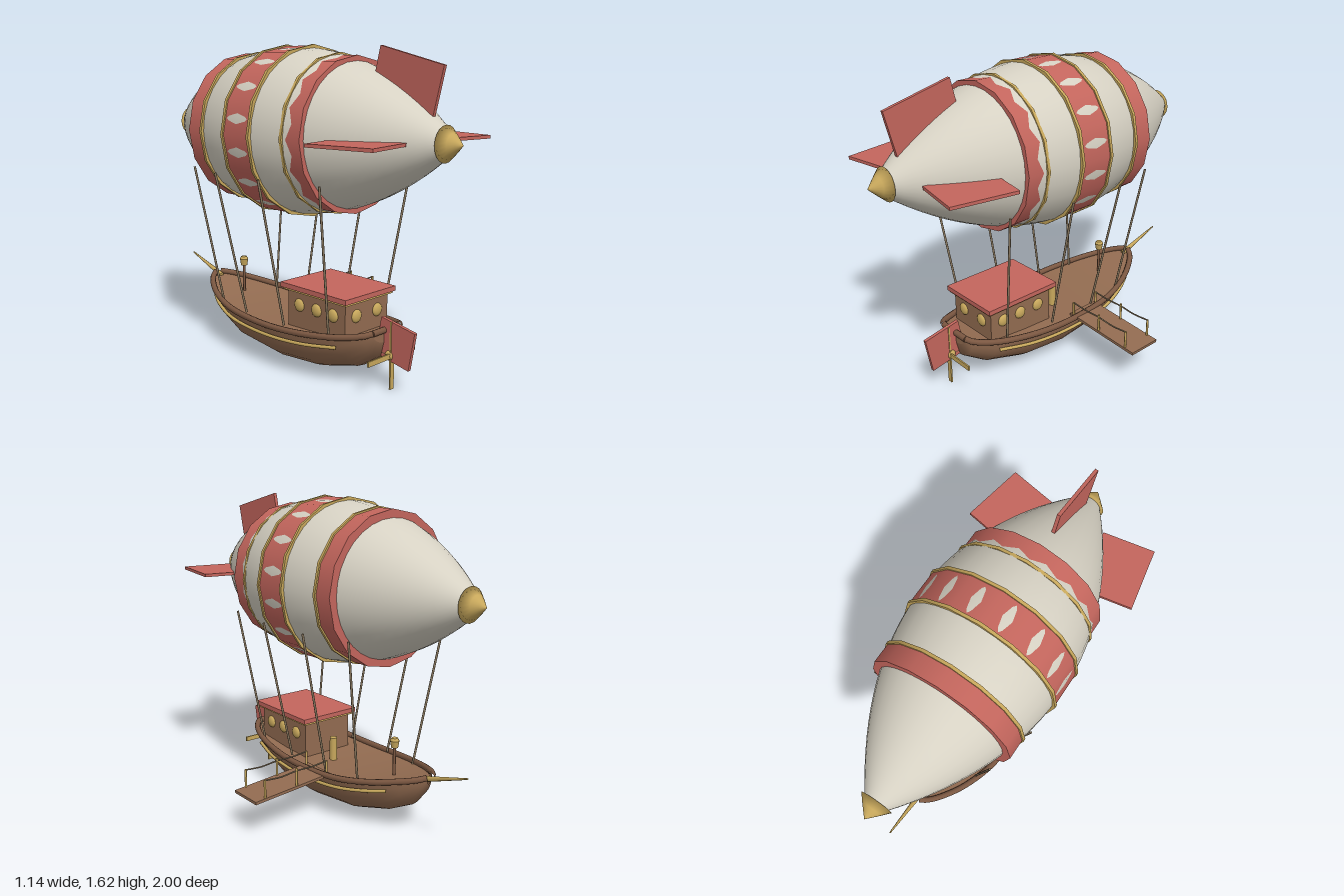
import * as THREE from 'three';

const mat = (name, color, side = THREE.FrontSide) => {
  const m = new THREE.MeshStandardMaterial({ color, side });
  m.name = name;
  return m;
};

export function createModel() {
  const canvas = mat('canvas', 0xd6d1c3);
  const red = mat('red cloth', 0xc4665d);
  const gold = mat('brass', 0xc8a85c);
  const wood = mat('wood', 0x936c51, THREE.DoubleSide);
  const darkWood = mat('dark wood', 0x7c5842);
  const rope = mat('rope', 0x8f7d63);

  const model = new THREE.Group();
  model.name = 'airship';
  const ship = new THREE.Group(); // everything is laid out around the ship's own centre line
  ship.name = 'ship';
  ship.position.x = -0.1;
  model.add(ship);

  const V = (x, y, z) => new THREE.Vector3(x, y, z);
  const add = (name, geo, material, x = 0, y = 0, z = 0) => {
    const m = new THREE.Mesh(geo, material);
    m.name = name;
    m.position.set(x, y, z);
    ship.add(m);
    return m;
  };
  const box = (name, material, w, h, d, x, y, z) => add(name, new THREE.BoxGeometry(w, h, d), material, x, y, z);
  // straight rod between two points
  const rod = (name, material, a, b, r0, r1 = r0, sides = 8) => {
    const m = add(name, new THREE.CylinderGeometry(r1, r0, a.distanceTo(b), sides), material);
    m.position.copy(a).lerp(b, 0.5);
    m.quaternion.setFromUnitVectors(V(0, 1, 0), b.clone().sub(a).normalize());
    return m;
  };
  const tube = (name, material, points, r, segs = 40) =>
    add(name, new THREE.TubeGeometry(new THREE.CatmullRomCurve3(points), segs, r, 8), material);

  // ---- Envelope ----
  const axisY = 1.2;
  const profile = [];
  for (let i = 0; i <= 32; i++) {
    const z = -0.93 + (1.86 * i) / 32;
    profile.push(new THREE.Vector2(0.4145 * (1 - (z / 0.99) ** 2), z));
  }
  add('envelope', new THREE.LatheGeometry(profile, 32).rotateX(Math.PI / 2), canvas, 0, axisY, 0);

  // cloth bands and brass hoops: radius, centre z, width
  const hoop = (name, material, r, z, w) =>
    add(name, new THREE.CylinderGeometry(r, r, w, 16).rotateX(Math.PI / 2), material, 0, axisY, z);
  [[0.375, 0.342, 0.105], [0.42, 0.005, 0.18], [0.384, -0.363, 0.1]]
    .forEach(([r, z, w]) => hoop('clothBand', red, r, z, w));
  [[0.389, 0.283], [0.427, 0.098], [0.427, -0.091], [0.392, -0.307]]
    .forEach(([r, z]) => hoop('brassHoop', gold, r, z, 0.016));

  // end caps
  const capProfile = [[0, 0.91], [0.083, 0.91], [0.05, 0.947], [0.026, 0.973], [0, 1]]
    .map(([r, z]) => new THREE.Vector2(r, z));
  for (const s of [1, -1]) {
    add('endCap', new THREE.LatheGeometry(capProfile, 20).rotateX((s * Math.PI) / 2), gold, 0, axisY, 0);
  }

  // tail fins
  box('topFin', red, 0.018, 0.24, 0.365, 0, 1.458, 0.69).rotation.x = 0.237;
  for (const s of [-1, 1]) {
    box('sideFin', red, 0.27, 0.016, 0.335, s * 0.3075, axisY, 0.67).rotation.y = -s * 0.18;
  }

  // ---- Hull: stations of z, half width, rim height, keel height ----
  const stations = [
    [0.59, 0.09, 0.295, 0.235], [0.57, 0.125, 0.288, 0.155], [0.46, 0.185, 0.268, 0.083],
    [0.25, 0.235, 0.248, 0.028], [0, 0.25, 0.238, 0.011], [-0.29, 0.232, 0.252, 0.037],
    [-0.48, 0.175, 0.279, 0.092], [-0.6, 0.11, 0.304, 0.155], [-0.67, 0.055, 0.32, 0.235], [-0.7, 0.012, 0.33, 0.295],
  ];
  const ribs = 12;
  const pos = [], idx = [], deckPos = [], deckIdx = [];
  stations.forEach(([z, w, rim, keel], i) => {
    for (let j = 0; j <= ribs; j++) {
      const t = (j / ribs) * Math.PI;
      pos.push(Math.cos(t) * w, rim - Math.sin(t) * (rim - keel), z);
      if (i && j) {
        const b = i * (ribs + 1) + j, a = b - ribs - 1;
        idx.push(a - 1, b - 1, a, a, b - 1, b);
      }
    }
    deckPos.push(-w, rim - 0.012, z, w, rim - 0.012, z);
    if (i) {
      const k = 2 * i;
      deckIdx.push(k - 2, k - 1, k, k, k - 1, k + 1);
    }
  });
  const mesh = (p, ix) => {
    const g = new THREE.BufferGeometry();
    g.setAttribute('position', new THREE.Float32BufferAttribute(p, 3));
    g.setIndex(ix);
    g.computeVertexNormals();
    return g;
  };
  add('hull', mesh(pos, idx), wood);
  add('deck', mesh(deckPos, deckIdx), wood);
  // transom closing the stern
  const transomIdx = [];
  for (let j = 1; j < ribs; j++) transomIdx.push(0, j + 1, j);
  add('transom', mesh(pos.slice(0, (ribs + 1) * 3), transomIdx), wood);

  for (const s of [-1, 1]) {
    tube('gunwale', darkWood, stations.map(([z, w, rim]) => V(s * (w + 0.003), rim, z)), 0.016);
    tube('rubbingStrake', gold, [[0.45, 0.188, 0.213], [0.25, 0.237, 0.195], [0, 0.252, 0.186],
      [-0.28, 0.234, 0.2], [-0.46, 0.18, 0.226], [-0.55, 0.135, 0.244]].map(([z, x, y]) => V(s * x, y, z)), 0.009);
  }
  rod('sternRail', darkWood, V(-0.095, 0.295, 0.59), V(0.095, 0.295, 0.59), 0.016);
  rod('bowsprit', gold, V(0, 0.312, -0.67), V(0, 0.402, -0.94), 0.015, 0.004);

  // ---- Cabin ----
  box('cabin', wood, 0.302, 0.21, 0.395, 0, 0.325, 0.273);
  box('roofTrim', gold, 0.336, 0.012, 0.432, 0, 0.424, 0.273);
  box('roof', red, 0.358, 0.025, 0.45, 0, 0.442, 0.273);
  const porthole = (x, z, alongX) => {
    const p = add('porthole', new THREE.SphereGeometry(0.033, 16, 12), gold, x, 0.35, z);
    p.scale.set(alongX ? 0.5 : 1, 1, alongX ? 1 : 0.5);
  };
  for (const s of [-1, 1]) {
    for (const z of [0.39, 0.278, 0.157]) porthole(s * 0.151, z, true);
    porthole(s * 0.074, 0.47, false);
  }

  // ---- Deck fittings ----
  rod('helmPost', gold, V(0.05, 0.23, -0.04), V(0.05, 0.355, -0.04), 0.02, 0.02, 12);
  rod('lampPost', darkWood, V(0, 0.25, -0.46), V(0, 0.42, -0.46), 0.008);
  rod('lamp', gold, V(0, 0.412, -0.46), V(0, 0.448, -0.46), 0.018, 0.024, 10);
  rod('lampLid', gold, V(0, 0.448, -0.46), V(0, 0.462, -0.46), 0.024, 0.016, 10);

  // ---- Rudder and propeller ----
  box('rudder', red, 0.018, 0.193, 0.205, 0, 0.243, 0.655).rotation.x = 0.18;
  rod('propellerShaft', darkWood, V(0, 0.18, 0.5), V(0, 0.18, 0.63), 0.01);
  add('propellerHub', new THREE.SphereGeometry(0.025, 14, 10), gold, 0, 0.177, 0.622);
  box('propellerBlade', gold, 0.34, 0.026, 0.008, 0, 0.177, 0.632);
  box('propellerBlade', gold, 0.026, 0.336, 0.008, 0, 0.177, 0.632);

  // ---- Gangway on the left side ----
  box('gangway', wood, 0.46, 0.015, 0.184, 0.44, 0.224, -0.12).rotation.z = -0.068;
  for (const z of [-0.036, -0.204]) {
    for (const [x, y] of [[0.23, 0.238], [0.42, 0.225], [0.61, 0.212]]) {
      rod('gangwayPost', gold, V(x, y, z), V(x, y + (x < 0.3 ? 0.08 : 0.1), z), 0.006);
    }
    tube('gangwayRope', rope, [V(0.23, 0.316, z), V(0.325, 0.309, z), V(0.42, 0.311, z), V(0.515, 0.303, z), V(0.61, 0.31, z)], 0.004, 16);
  }

  // ---- Suspension ropes: bottom x, bottom z, top x, top z ----
  for (const s of [-1, 1]) {
    for (const [x0, z0, x1, z1] of [[0.19, 0.4, 0.315, 0.462], [0.215, 0.11, 0.38, 0.12],
      [0.215, -0.18, 0.38, -0.207], [0.19, -0.4, 0.315, -0.468]]) {
      rod('suspensionRope', rope, V(s * x0, 0.25, z0), V(s * x1, 1.0, z1), 0.006);
    }
  }
  return model;
}
